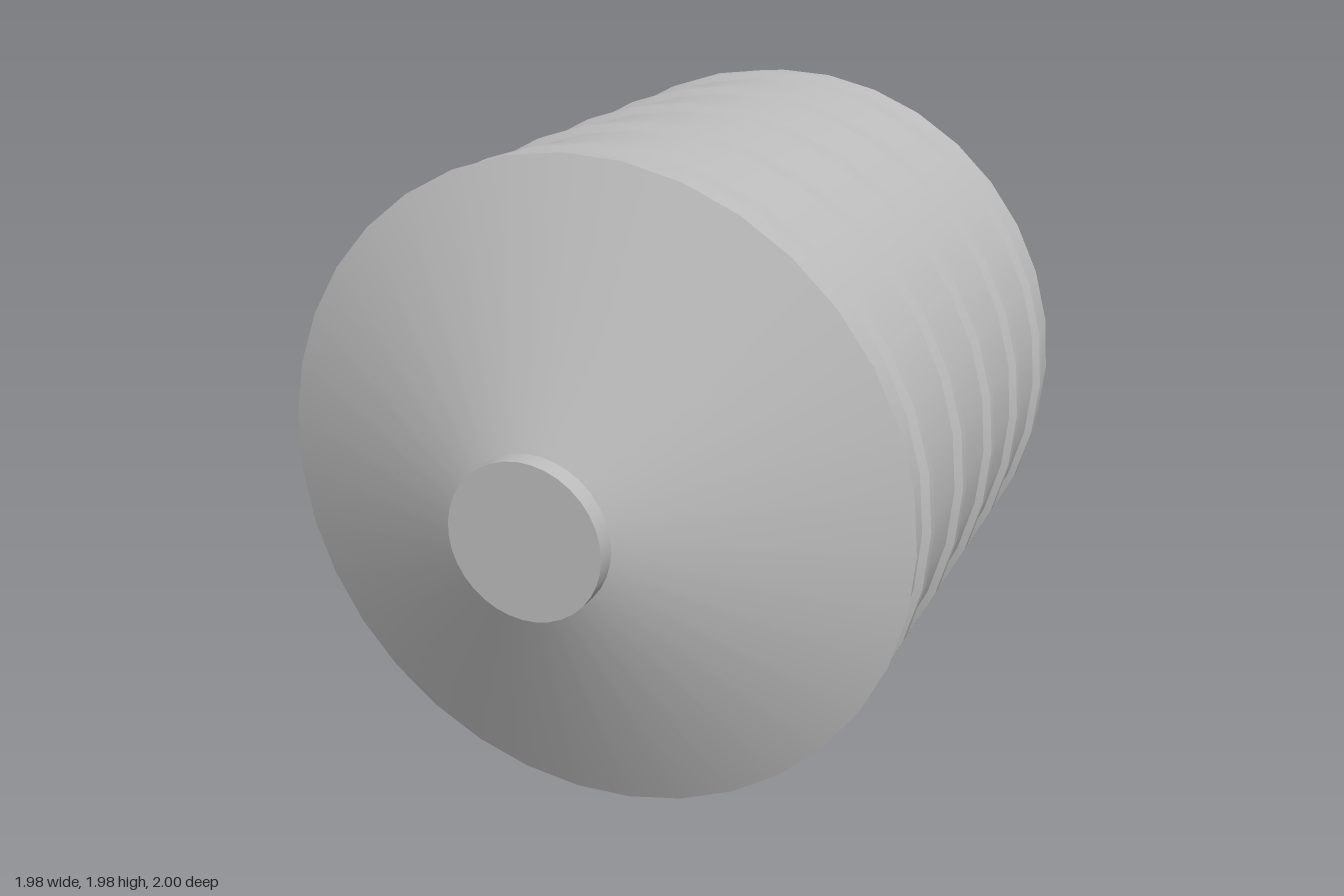
import * as THREE from 'three';

const SIDES = 35;
const BODY_R = 0.963;

export function createModel() {
  const model = new THREE.Group();
  model.name = 'ribbedCanister';
  const grey = new THREE.MeshStandardMaterial({ color: 0xbebebe });
  grey.name = 'plain grey';

  // Everything is turned around one axis running along z
  const axis = new THREE.Group();
  axis.name = 'canister';
  axis.position.y = 0.989;
  model.add(axis);

  // Open band from [z, radius] at the back to [z, radius] at the front
  function band(name, [z0, r0], [z1, r1], parent = axis) {
    const geo = new THREE.CylinderGeometry(r1, r0, z1 - z0, SIDES, 1, true, Math.PI / 2);
    geo.rotateX(Math.PI / 2).translate(0, 0, (z0 + z1) / 2);
    const mesh = new THREE.Mesh(geo, grey);
    mesh.name = name;
    parent.add(mesh);
  }

  // Flat end disc facing the front, or the back when flipped
  function disc(name, z, r, back) {
    const geo = new THREE.CircleGeometry(r, SIDES, back ? Math.PI : 0);
    if (back) geo.rotateY(Math.PI);
    const mesh = new THREE.Mesh(geo, grey);
    mesh.name = name;
    mesh.position.z = z;
    axis.add(mesh);
  }

  // Drum with closed back
  disc('backPlate', -1, BODY_R, true);
  band('drum', [-1, BODY_R], [0.634, BODY_R]);

  // Five raised hoops with bevelled edges
  for (let i = 0; i < 5; i++) {
    const z = 0.47 - i * 0.326;
    const hoop = new THREE.Group();
    hoop.name = 'hoop' + (i + 1);
    axis.add(hoop);
    const profile = [[-0.036, BODY_R - 0.002], [-0.018, 0.984], [0.018, 0.984], [0.036, BODY_R - 0.002]]
      .map(([dz, r]) => [z + dz, r]);
    ['backBevel', 'hoopRim', 'frontBevel'].forEach((name, k) => band(name, profile[k], profile[k + 1], hoop));
  }

  // Overhanging lip, front cone and short capped nozzle
  band('lip', [0.634, BODY_R], [0.644, 0.99]);
  band('frontCone', [0.644, 0.99], [0.94, 0.235]);
  band('nozzle', [0.94, 0.235], [1, 0.235]);
  disc('nozzleCap', 1, 0.235, false);

  return model;
}
